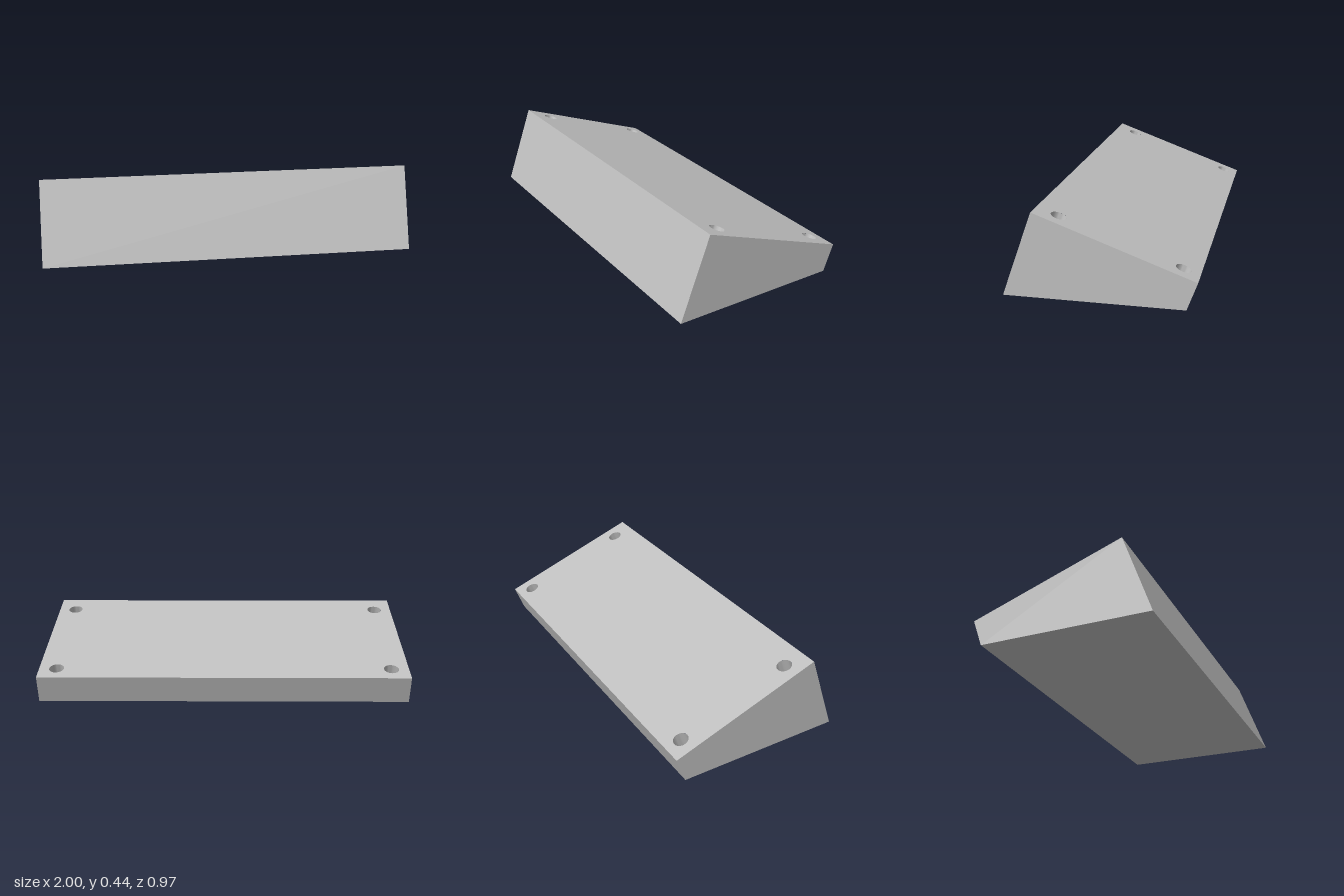
import * as THREE from 'three';
import { toCreasedNormals } from 'three/addons/utils/BufferGeometryUtils.js';

// Side profile as [y, z]
const FRONT_BOTTOM = [0, 0.483], FRONT_TOP = [0.438, 0.325];
const BACK_TOP = [0.144, -0.483], BACK_BOTTOM = [0, -0.43];
const HOLE_RADIUS = 0.04, HOLE_DEPTH = 0.125, SEGMENTS = 32;

// Flat panel from four corners, counter-clockwise seen from outside
function quad(a, b, c, d) {
  const g = new THREE.BufferGeometry();
  g.setAttribute('position', new THREE.Float32BufferAttribute([...a, ...b, ...c, ...d], 3));
  g.setIndex([0, 1, 2, 0, 2, 3]);
  g.computeVertexNormals();
  return g;
}

export function createModel() {
  const model = new THREE.Group();
  model.name = 'wedgeBlock';
  const grey = new THREE.MeshStandardMaterial({ color: 0xbfbfbf });
  grey.name = 'grey';

  const add = (parent, name, geometry) => {
    const mesh = new THREE.Mesh(geometry, grey);
    mesh.name = name;
    parent.add(mesh);
    return mesh;
  };

  // Front, back and bottom span the full width
  const span = (p, q) => quad([-1, ...p], [1, ...p], [1, ...q], [-1, ...q]);
  add(model, 'frontFace', span(FRONT_BOTTOM, FRONT_TOP));
  add(model, 'backFace', span(BACK_TOP, BACK_BOTTOM));
  add(model, 'bottomFace', span(BACK_BOTTOM, FRONT_BOTTOM));

  // End faces
  const profile = [FRONT_BOTTOM, BACK_BOTTOM, BACK_TOP, FRONT_TOP];
  add(model, 'leftEnd', quad(...profile.map(p => [1, ...p])));
  add(model, 'rightEnd', quad(...profile.map(p => [-1, ...p]).reverse()));

  // Sloping top: local y is its normal, local z runs up the slope from the back edge
  const rise = FRONT_TOP[0] - BACK_TOP[0], run = FRONT_TOP[1] - BACK_TOP[1];
  const length = Math.hypot(rise, run);
  const slope = new THREE.Group();
  slope.name = 'slopingTop';
  slope.position.set(0, ...BACK_TOP);
  slope.rotation.x = -Math.atan2(rise, run);
  model.add(slope);

  const panel = new THREE.Shape([[-1, -length], [1, -length], [1, 0], [-1, 0]]
    .map(([x, y]) => new THREE.Vector2(x, y)));

  // Blind screw holes, square to the slope
  const cup = toCreasedNormals(new THREE.LatheGeometry([
    new THREE.Vector2(HOLE_RADIUS, 0),
    new THREE.Vector2(HOLE_RADIUS, -HOLE_DEPTH),
    new THREE.Vector2(0, -HOLE_DEPTH),
  ], SEGMENTS), 0.6);
  for (const x of [-0.905, 0.905]) {
    for (const z of [0.088, 0.742]) {
      panel.holes.push(new THREE.Path().absarc(x, -z, HOLE_RADIUS, 0, Math.PI * 2, true));
      add(slope, 'screwHole', cup).position.set(x, 0, z);
    }
  }
  add(slope, 'topFace', new THREE.ShapeGeometry(panel, SEGMENTS).rotateX(-Math.PI / 2));

  return model;
}
